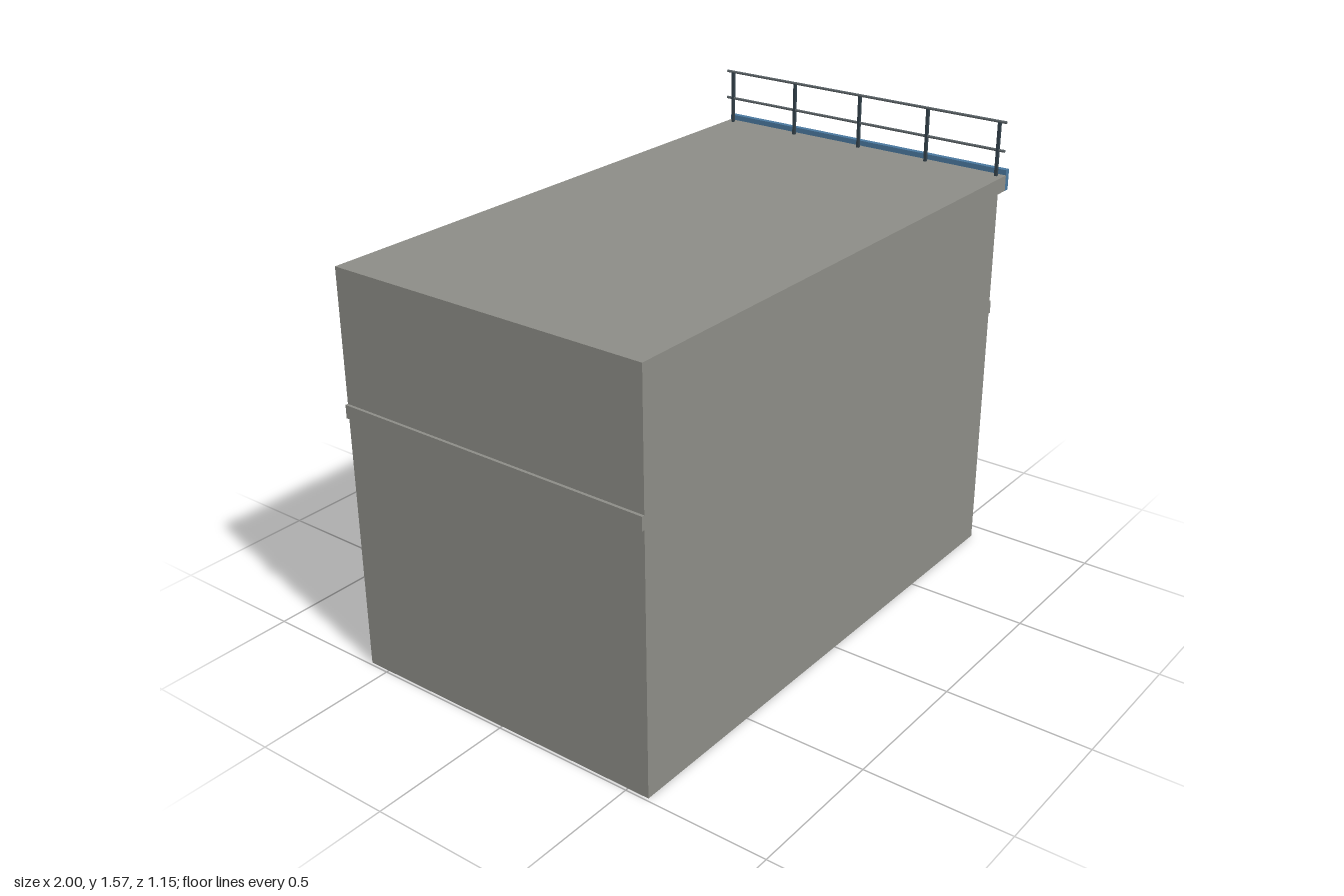
import * as THREE from 'three';

export function createModel() {
  const model = new THREE.Group();
  model.name = 'building';

  const material = (name, color) => {
    const m = new THREE.MeshStandardMaterial({ color });
    m.name = name;
    return m;
  };
  const concrete = material('concrete', 0x8c8c86);
  const navy = material('dark frame', 0x34424b);
  const glass = material('window glass', 0x3d4b54);
  const blue = material('blue fascia', 0x4a789e);
  const pale = material('pale sign', 0xbcbbb8);
  const steel = material('rail steel', 0x5c6468);

  const add = (name, geometry, mat, parent = model) => {
    const mesh = new THREE.Mesh(geometry, mat);
    mesh.name = name;
    parent.add(mesh);
    return mesh;
  };
  // Box given by its limits along each axis
  const box = (name, mat, [x0, x1], [y0, y1], [z0, z1], parent) => {
    const mesh = add(name, new THREE.BoxGeometry(x1 - x0, y1 - y0, z1 - z0), mat, parent);
    mesh.position.set((x0 + x1) / 2, (y0 + y1) / 2, (z0 + z1) / 2);
    return mesh;
  };
  const rectangle = (Type, w, y0, y1) => new Type([
    new THREE.Vector2(-w, y0), new THREE.Vector2(w, y0),
    new THREE.Vector2(w, y1), new THREE.Vector2(-w, y1),
  ]);

  const HALF = 0.577, OPEN = 0.522, FACE = 0.93, RECESS = 0.885;
  const full = [-HALF, HALF], opening = [-OPEN, OPEN];

  // Main volume and facade wall with a lower and an upper opening
  box('mainVolume', concrete, [-0.99, RECESS], [0, 1.38], full);
  const wall = rectangle(THREE.Shape, HALF, 0, 1.38);
  wall.holes.push(rectangle(THREE.Path, OPEN, 0.04, 0.89), rectangle(THREE.Path, OPEN, 0.935, 1.285));
  const wallGeometry = new THREE.ExtrudeGeometry(wall, { depth: FACE - RECESS, bevelEnabled: false });
  wallGeometry.rotateY(Math.PI / 2).translate(RECESS, 0, 0);
  add('facadeWall', wallGeometry, concrete);

  // Floor bands on the facade and the rear
  box('facadeBand', concrete, [FACE, 0.94], [0.89, 0.935], full);
  box('rearBand', concrete, [-1, -0.99], [0.89, 0.935], full);

  // Sign box over the lower opening
  box('signBacking', navy, [RECESS, 0.922], [0.74, 0.885], opening);
  box('signPanel', pale, [0.922, 0.927], [0.74, 0.876], [-0.515, 0.515]);
  box('signLowerBar', navy, [RECESS, FACE], [0.705, 0.74], opening);

  // Window strip: glass, outer frame and mullions
  const windows = new THREE.Group();
  windows.name = 'windowStrip';
  model.add(windows);
  box('windowGlass', glass, [RECESS, 0.905], [0.937, 1.283], opening, windows);
  box('frameBottom', navy, [0.9, 0.916], [0.936, 0.952], opening, windows);
  box('frameTop', navy, [0.9, 0.916], [1.27, 1.285], opening, windows);
  for (let i = -2; i <= 2; i++) {
    const z = i * 0.2565;
    box(Math.abs(i) === 2 ? 'frameSide' : 'mullion', navy, [0.9, 0.916], [0.952, 1.27],
      [z - 0.008, z + 0.008], windows);
  }

  // Projecting roof edge with fascia
  box('roofEdge', concrete, [FACE, 0.98], [1.325, 1.38], full);
  box('fascia', blue, [0.98, 1], [1.325, 1.398], full);

  // Roof railing
  const railing = new THREE.Group();
  railing.name = 'railing';
  model.add(railing);
  for (let i = -2; i <= 2; i++) {
    const z = i * 0.2755;
    box('railingPost', navy, [0.952, 0.962], [1.38, 1.567], [z - 0.005, z + 0.005], railing);
  }
  for (const y of [1.47, 1.569]) {
    const rail = add('handrail', new THREE.CylinderGeometry(0.005, 0.005, 2 * HALF, 8), steel, railing);
    rail.rotation.x = Math.PI / 2;
    rail.position.set(0.957, y, 0);
  }

  return model;
}
